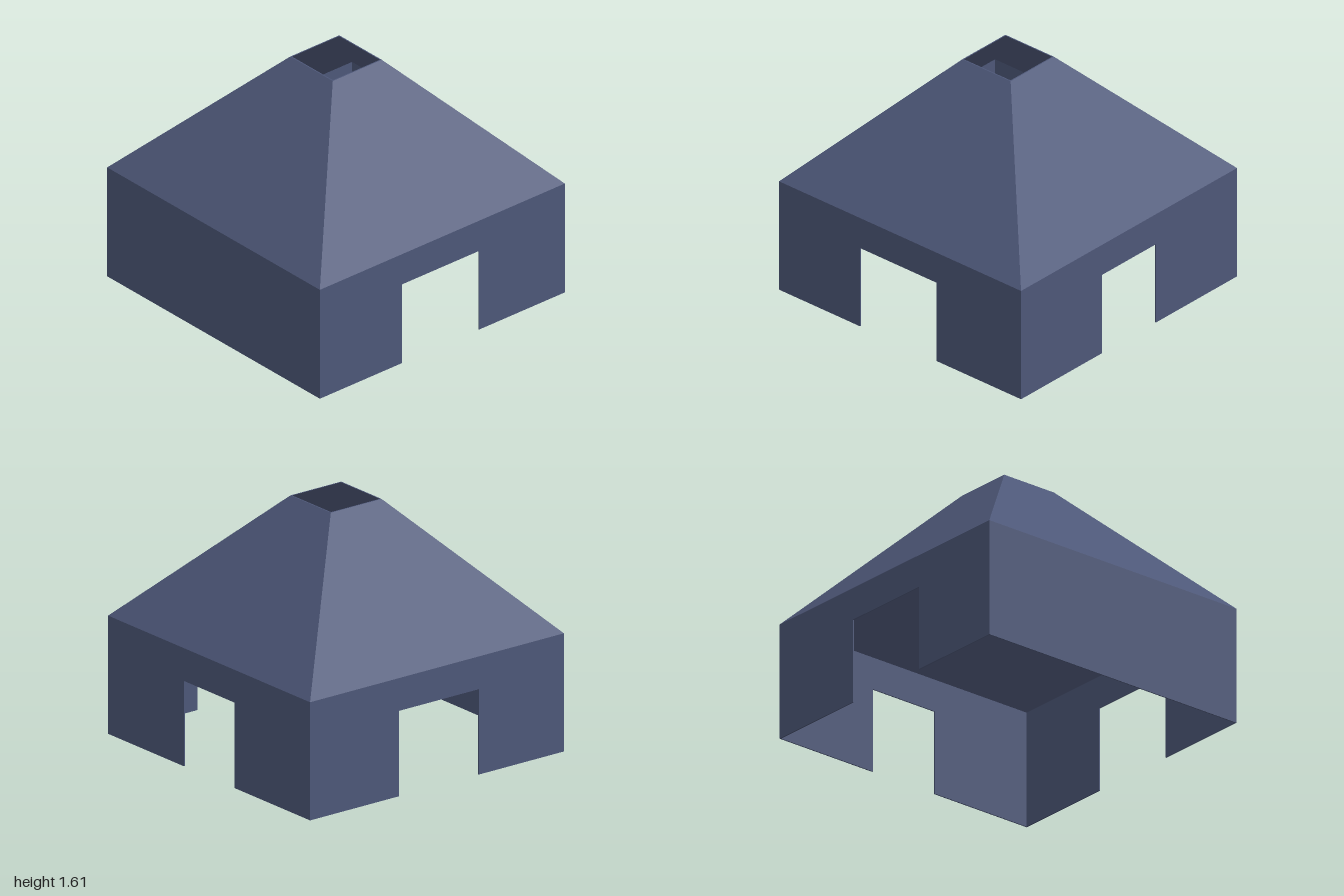
import * as THREE from 'three';

const EAVES = 0.775, TOP = 1.61, VENT = 0.2, DOOR = 0.56, THICK = 0.008;

// Wall panel facing +z, with an optional doorway from a to b
function wallGeometry(a, b) {
  const pts = [[-1, 0]];
  if (a !== undefined) pts.push([a, 0], [a, DOOR], [b, DOOR], [b, 0]);
  pts.push([1, 0], [1, EAVES], [-1, EAVES]);
  const shape = new THREE.Shape(pts.map(([x, y]) => new THREE.Vector2(x, y)));
  const geo = new THREE.ExtrudeGeometry(shape, { depth: THICK, bevelEnabled: false });
  return geo.translate(0, 0, 1 - THICK);
}

export function createModel() {
  const group = new THREE.Group();
  group.name = 'shelter';
  const slate = new THREE.MeshStandardMaterial({ color: 0x4d5778, flatShading: true, side: THREE.DoubleSide });
  slate.name = 'slate blue';

  // Four walls: three have doorways, the -x one is solid
  const walls = [
    ['frontWall', 0, -0.33, 0.3],
    ['openSideWall', Math.PI / 2, -0.25, 0.25],
    ['backWall', Math.PI, -0.3, 0.33],
    ['solidSideWall', -Math.PI / 2],
  ];
  for (const [name, turn, a, b] of walls) {
    const wall = new THREE.Mesh(wallGeometry(a, b), slate);
    wall.name = name;
    wall.rotation.y = turn;
    group.add(wall);
  }

  // Hollow four-sided roof with an open square vent
  const profile = [[1, EAVES], [VENT, TOP], [VENT - THICK, TOP], [1 - THICK, EAVES], [1, EAVES]]
    .map(([r, y]) => new THREE.Vector2(r * Math.SQRT2, y));
  const roof = new THREE.Mesh(new THREE.LatheGeometry(profile, 4, Math.PI / 4), slate);
  roof.name = 'roof';
  group.add(roof);

  return group;
}
